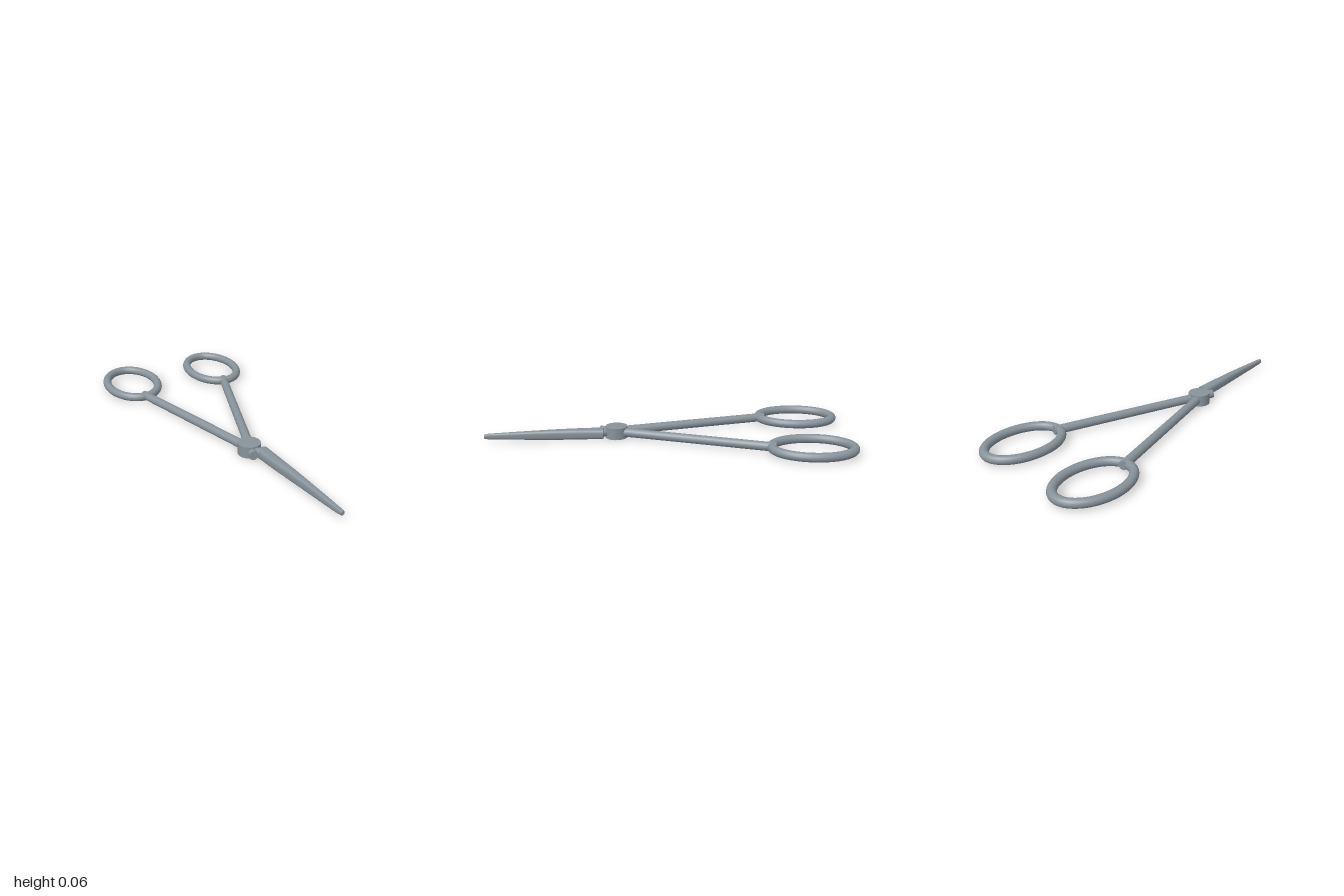
import * as THREE from 'three';

const MID = 0.033; // height of the tool's middle plane
const R = 0.0245; // rod radius

// Closed ellipse in the horizontal plane
class FlatEllipse extends THREE.Curve {
  constructor(rx, rz) { super(); this.rx = rx; this.rz = rz; }
  getPoint(t, target = new THREE.Vector3()) {
    const a = t * Math.PI * 2;
    return target.set(Math.cos(a) * this.rx, 0, Math.sin(a) * this.rz);
  }
}

// Rounded-box section lofted along z; each station is [z, xMin, xMax, halfHeight]
function loft(stations, sides = 28, power = 3) {
  const pos = [], index = [];
  const section = ([z, x0, x1, h]) => {
    for (let i = 0; i < sides; i++) {
      const a = (i / sides) * Math.PI * 2, c = Math.cos(a), s = Math.sin(a);
      const bend = (v) => Math.sign(v) * Math.abs(v) ** (2 / power);
      pos.push((x0 + x1) / 2 + bend(c) * (x1 - x0) / 2, bend(s) * h, z);
    }
  };
  stations.forEach(section);
  for (let j = 0; j < stations.length - 1; j++) {
    for (let i = 0; i < sides; i++) {
      const a = j * sides + i, b = j * sides + (i + 1) % sides;
      index.push(a, b, b + sides, a, b + sides, a + sides);
    }
  }
  // End caps with their own vertices for crisp rims
  [stations[0], stations[stations.length - 1]].forEach((st, end) => {
    const o = pos.length / 3;
    section(st);
    for (let i = 1; i < sides - 1; i++) {
      if (end) index.push(o, o + i, o + i + 1);
      else index.push(o, o + i + 1, o + i);
    }
  });
  const g = new THREE.BufferGeometry();
  g.setAttribute('position', new THREE.Float32BufferAttribute(pos, 3));
  g.setIndex(index);
  g.computeVertexNormals();
  return g;
}

export function createModel() {
  const group = new THREE.Group();
  const steel = new THREE.MeshStandardMaterial({ color: 0x87929a });
  steel.name = 'steel';

  const add = (name, geometry, x = 0, y = MID, z = 0) => {
    const mesh = new THREE.Mesh(geometry, steel);
    mesh.name = name;
    mesh.position.set(x, y, z);
    group.add(mesh);
    return mesh;
  };

  // Finger rings and the two shanks that cross at the pivot
  for (const [side, s] of [['left', 1], ['right', -1]]) {
    add(side + 'FingerRing', new THREE.TubeGeometry(new FlatEllipse(0.149, 0.216), 80, R, 16, true),
      s * 0.275, MID, -0.76);

    const back = new THREE.Vector3(s * 0.268, MID, -0.57);
    const front = new THREE.Vector3(s * -0.022, MID, 0.375);
    const dir = front.clone().sub(back);
    const shank = add(side + 'Shank', new THREE.CylinderGeometry(R, R, dir.length(), 20));
    shank.position.copy(back).add(front).multiplyScalar(0.5);
    shank.quaternion.setFromUnitVectors(new THREE.Vector3(0, 1, 0), dir.normalize());
  }

  // Pivot disc
  add('pivot', new THREE.CylinderGeometry(0.061, 0.061, 0.064, 40), 0, 0.032, 0.285);

  // Closed tapering jaws
  add('jaws', loft([
    [0.355, 0.0, 0.07, 0.029],
    [0.5, 0.018, 0.078, 0.029],
    [0.62, 0.036, 0.085, 0.028],
    [0.75, 0.053, 0.092, 0.024],
    [0.88, 0.068, 0.099, 0.019],
    [0.98, 0.081, 0.104, 0.015],
    [1.0, 0.086, 0.104, 0.011],
  ]));

  return group;
}
